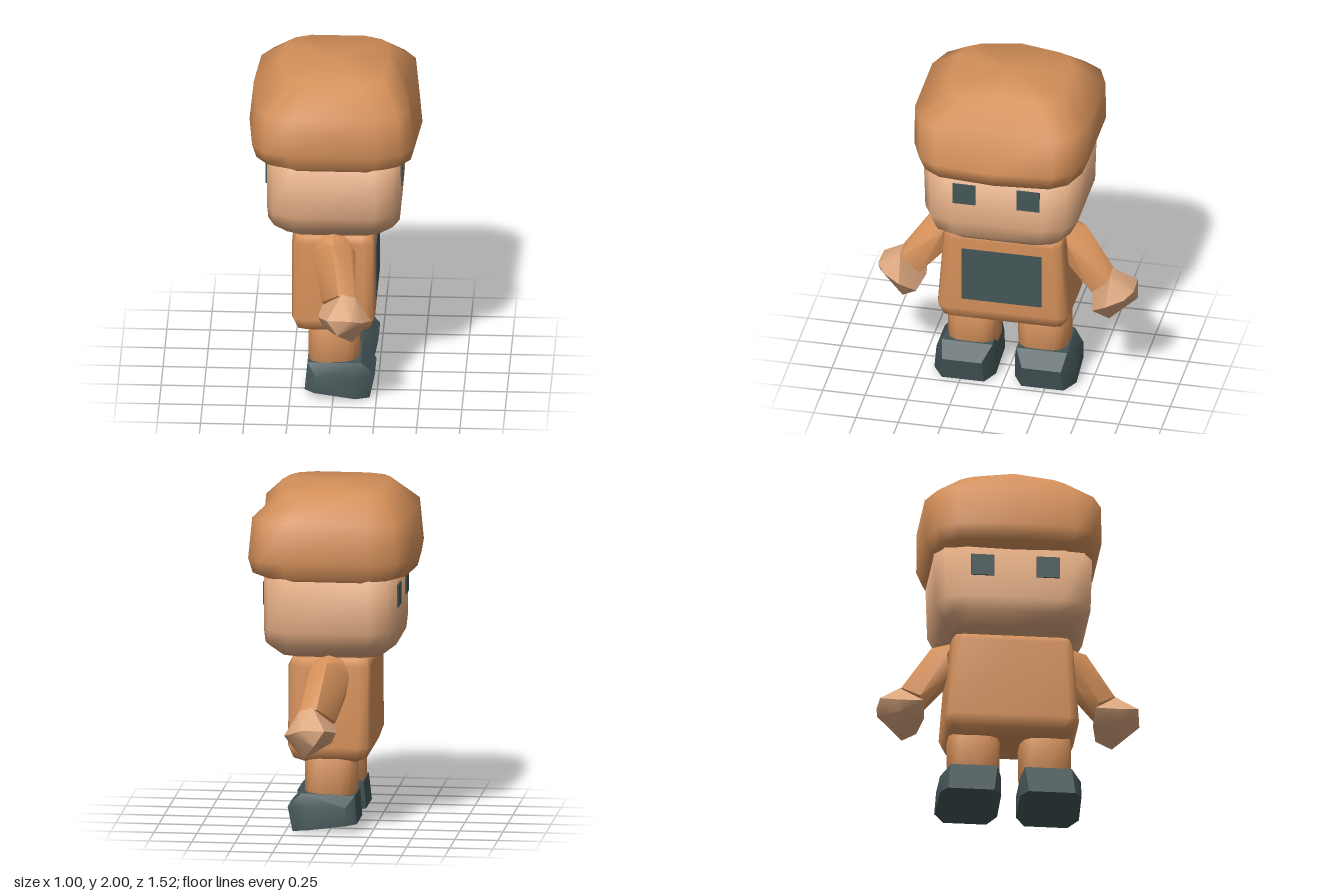
import * as THREE from 'three';
import { mergeVertices, toCreasedNormals } from 'three/addons/utils/BufferGeometryUtils.js';
import { ConvexGeometry } from 'three/addons/geometries/ConvexGeometry.js';

// Quarter outlines as fractions of the half width (x) and half depth (z)
const HAIR = [[1, 0], [0.94, 0.68], [0.8, 0.885], [0.5, 1]];
const HEAD = [[1, 0], [1, 0.62], [0.9, 0.88], [0.62, 1]];
const TORSO = [[1, 0], [1, 0.84], [0.94, 0.96], [0.72, 1]];
const LEG = [[1, 0], [0.97, 0.55], [0.78, 0.85], [0.4, 1]];

// Mirror a quarter outline into a full ring
function fullRing(quarter) {
  const back = quarter.map(([x, z]) => [-x, z]).reverse();
  const half = [...quarter, ...back];
  const other = half.slice(1, -1).map(([x, z]) => [x, -z]).reverse();
  return [...half, ...other];
}

// Smooth closed body from rings [halfX, y, halfZ]; adjust(v, level) may move points
function loft(quarter, levels, bottomY, topY, adjust = () => {}) {
  const ring = fullRing(quarter);
  const n = ring.length;
  const pos = [];
  const index = [];
  levels.forEach(([hx, y, hz], level) => {
    for (const [x, z] of ring) {
      const v = new THREE.Vector3(x * hx, y, z * hz);
      adjust(v, level);
      pos.push(v.x, v.y, v.z);
    }
  });
  const bottom = levels.length * n;
  const top = bottom + 1;
  const last = (levels.length - 1) * n;
  pos.push(0, bottomY, 0, 0, topY, 0);
  for (let j = 0; j < n; j++) {
    const k = (j + 1) % n;
    for (let i = 0; i < levels.length - 1; i++) {
      const a = i * n + j, b = i * n + k;
      index.push(a, a + n, b, b, a + n, b + n);
    }
    index.push(bottom, j, k, top, last + k, last + j);
  }
  const g = new THREE.BufferGeometry();
  g.setAttribute('position', new THREE.Float32BufferAttribute(pos, 3));
  g.setIndex(index);
  g.computeVertexNormals();
  return g;
}

// Faceted hull with softened edges; side mirrors it in z
function hull(points, side, crease) {
  const g = new ConvexGeometry(points.map(([x, y, z]) => new THREE.Vector3(x, y, z * side)));
  g.deleteAttribute('normal');
  const merged = mergeVertices(g, 1e-4);
  merged.computeVertexNormals();
  return toCreasedNormals(merged, crease);
}

export function createModel() {
  const root = new THREE.Group();
  const material = (name, color) => {
    const m = new THREE.MeshStandardMaterial({ color });
    m.name = name;
    return m;
  };
  const orange = material('orange', 0xd4905a);
  const skin = material('skin', 0xdaa67e);
  const slate = material('slate', 0x445557);

  const add = (name, geometry, mat, x = 0, y = 0, z = 0) => {
    const mesh = new THREE.Mesh(geometry, mat);
    mesh.name = name;
    mesh.position.set(x, y, z);
    root.add(mesh);
    return mesh;
  };

  // Thick cap of hair: low ridge along the top and a dimple above the brow
  add('hair', loft(HAIR, [
    [0.36, 1.475, 0.45], [0.475, 1.51, 0.475], [0.5, 1.6, 0.512],
    [0.475, 1.84, 0.512], [0.31, 1.98, 0.34],
  ], 1.48, 2, (v, level) => {
    if (level === 4 && v.z === 0) v.y = 2;
    if (level === 3 && v.z === 0 && v.x > 0) v.x = 0.41;
  }), orange);

  // Head
  add('head', loft(HEAD, [
    [0.3, 1.025, 0.34], [0.38, 1.09, 0.405], [0.387, 1.18, 0.45], [0.385, 1.5, 0.46],
  ], 1.02, 1.52), skin);

  // Torso
  add('torso', loft(TORSO, [
    [0.16, 0.4, 0.3], [0.215, 0.43, 0.36], [0.24, 0.5, 0.39],
    [0.24, 0.97, 0.355], [0.22, 1.01, 0.34], [0.15, 1.035, 0.28],
  ], 0.4, 1.05), orange);

  // Chest panel
  add('chestPanel', new THREE.BoxGeometry(0.009, 0.34, 0.47), slate, 0.24, 0.74, 0);

  const armPoints = [
    [0, 1.06, 0.28], [-0.09, 1, 0.34], [0.09, 1, 0.34], [0, 1.01, 0.45],
    [-0.12, 0.92, 0.37], [0.13, 0.93, 0.37], [-0.1, 0.8, 0.36], [0.1, 0.8, 0.36],
    [-0.06, 0.68, 0.52], [0.04, 0.77, 0.62], [0.14, 0.74, 0.62], [0.13, 0.64, 0.51], [0, 0.62, 0.5],
  ];
  const handPoints = [
    [0.06, 0.78, 0.62], [0.14, 0.76, 0.62], [-0.02, 0.67, 0.75], [0.12, 0.67, 0.755],
    [0.04, 0.58, 0.762], [0.23, 0.61, 0.61], [0.18, 0.64, 0.71], [0.12, 0.47, 0.61],
    [0.17, 0.54, 0.52], [-0.075, 0.64, 0.64], [-0.05, 0.58, 0.63], [-0.06, 0.65, 0.5], [0.02, 0.57, 0.49],
  ];
  const shoePoints = [
    [-0.15, 0.21, 0.08], [-0.15, 0.21, 0.35], [0.16, 0.225, 0.07], [0.16, 0.225, 0.37],
    [-0.165, 0.05, 0.1], [-0.165, 0.05, 0.37], [-0.11, 0.045, 0.055], [-0.11, 0.045, 0.41],
    [-0.1, 0.16, 0.055], [-0.1, 0.15, 0.41], [0.12, 0.15, 0.055], [0.12, 0.15, 0.41],
    [0.24, 0.14, 0.12], [0.24, 0.14, 0.35], [0.21, 0, 0.11], [0.21, 0, 0.36],
    [0.13, 0.015, 0.055], [0.13, 0.015, 0.42],
  ];

  for (const side of [1, -1]) {
    const tag = side > 0 ? 'Right' : 'Left';
    // Arm and hand
    add('arm' + tag, hull(armPoints, side, 0.9), orange);
    add('hand' + tag, hull(handPoints, side, 0.7), skin);
    // Leg and shoe
    add('leg' + tag, loft(LEG, [[0.15, 0.15, 0.145], [0.15, 0.46, 0.15]], 0.15, 0.46), orange, 0, 0, side * 0.207);
    add('shoe' + tag, hull(shoePoints, side, 0.8), slate);
    // Eyes on the front face and the matching pair on the back
    for (const face of [1, -1]) {
      add((face > 0 ? 'frontEye' : 'backEye') + tag,
        new THREE.BoxGeometry(0.0095, 0.13, 0.135), slate, face * 0.39, 1.375, side * 0.19);
    }
  }
  return root;
}
